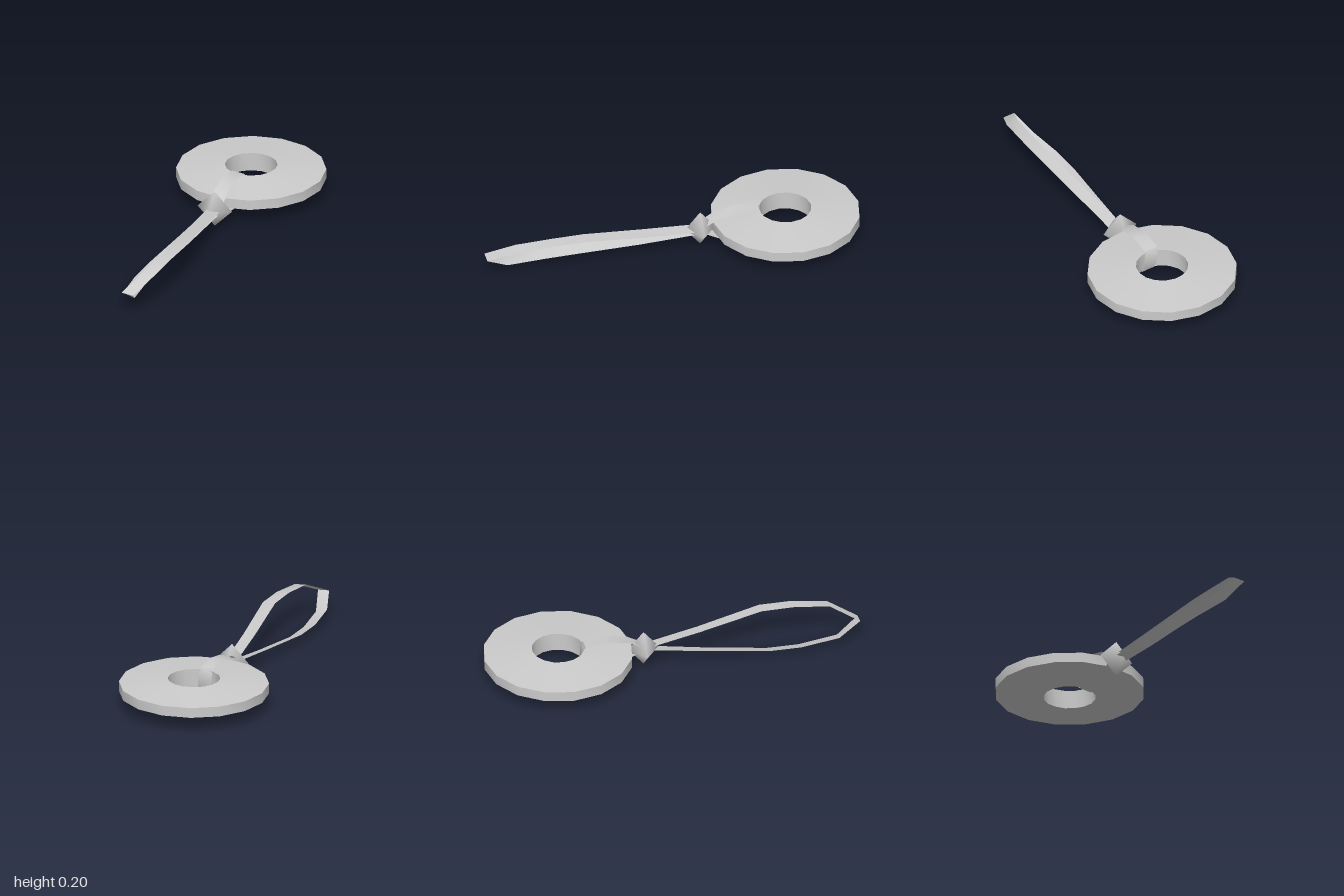
import * as THREE from 'three';
import { toCreasedNormals } from 'three/addons/utils/BufferGeometryUtils.js';

const material = new THREE.MeshStandardMaterial({ color: 0xcccccc });
const clothMaterial = new THREE.MeshStandardMaterial({ color: 0xcccccc, side: THREE.DoubleSide });

function addMesh(group, name, geometry, mat = material) {
  const mesh = new THREE.Mesh(geometry, mat);
  mesh.name = name;
  group.add(mesh);
  return mesh;
}

// Flat strap through cross-sections [centre x, centre y, z, half-width x, half-width y]
function ribbon(sections) {
  const positions = [];
  const index = [];
  sections.forEach(([x, y, z, dx, dy], i) => {
    positions.push(x - dx, y - dy, z, x + dx, y + dy, z);
    if (i > 0) {
      const a = 2 * i - 2;
      index.push(a, a + 2, a + 1, a + 1, a + 2, a + 3);
    }
  });
  const geometry = new THREE.BufferGeometry();
  geometry.setAttribute('position', new THREE.Float32BufferAttribute(positions, 3));
  geometry.setIndex(index);
  return toCreasedNormals(geometry, 0.9);
}

export function createModel() {
  const group = new THREE.Group();

  // Pierced disc, thinner towards its rim
  const profile = [[0.137, -0.05], [0.392, -0.027], [0.392, 0.027], [0.137, 0.05], [0.137, -0.05]]
    .map(([r, y]) => new THREE.Vector2(r, y));
  const disc = addMesh(group, 'disc', toCreasedNormals(new THREE.LatheGeometry(profile, 16), 0.7));
  disc.position.set(0, 0.11, -0.608);

  // Diamond-shaped knot with soft shading
  const knot = addMesh(group, 'knot', new THREE.SphereGeometry(1, 4, 2));
  knot.scale.set(0.098, 0.098, 0.082);
  knot.position.set(-0.007, 0.101, -0.153);

  // Long loop: out along the upper strand, round the tip, back along the lower one
  addMesh(group, 'longLoop', ribbon([
    [0.0, 0.105, -0.15, 0.033, -0.004],
    [0.035, 0.145, 0.15, 0.034, -0.004],
    [0.08, 0.2, 0.49, 0.035, -0.002],
    [0.081, 0.2, 0.66, 0.034, -0.002],
    [0.068, 0.184, 0.85, 0.033, -0.004],
    [0.004, 0.112, 1.0, 0.032, -0.003],
    [-0.04, 0.045, 0.88, 0.032, -0.01],
    [-0.068, 0.034, 0.67, 0.033, -0.011],
    [-0.069, 0.036, 0.5, 0.033, -0.011],
    [-0.035, 0.062, 0.18, 0.033, -0.01],
    [0.0, 0.095, -0.15, 0.033, -0.006],
  ]), clothMaterial);

  // Short loop: over the disc, down through its hole and back underneath
  addMesh(group, 'shortLoop', ribbon([
    [-0.005, 0.125, -0.17, 0.036, -0.002],
    [-0.008, 0.163, -0.235, 0.037, -0.003],
    [-0.012, 0.189, -0.365, 0.037, -0.003],
    [-0.012, 0.172, -0.47, 0.037, -0.003],
    [-0.008, 0.145, -0.482, 0.037, -0.003],
    [0.0, 0.08, -0.482, 0.037, -0.003],
    [0.006, 0.05, -0.472, 0.037, -0.004],
    [0.008, 0.045, -0.37, 0.037, -0.004],
    [0.004, 0.06, -0.235, 0.037, -0.004],
    [0.0, 0.09, -0.17, 0.036, -0.003],
  ]), clothMaterial);

  return group;
}
